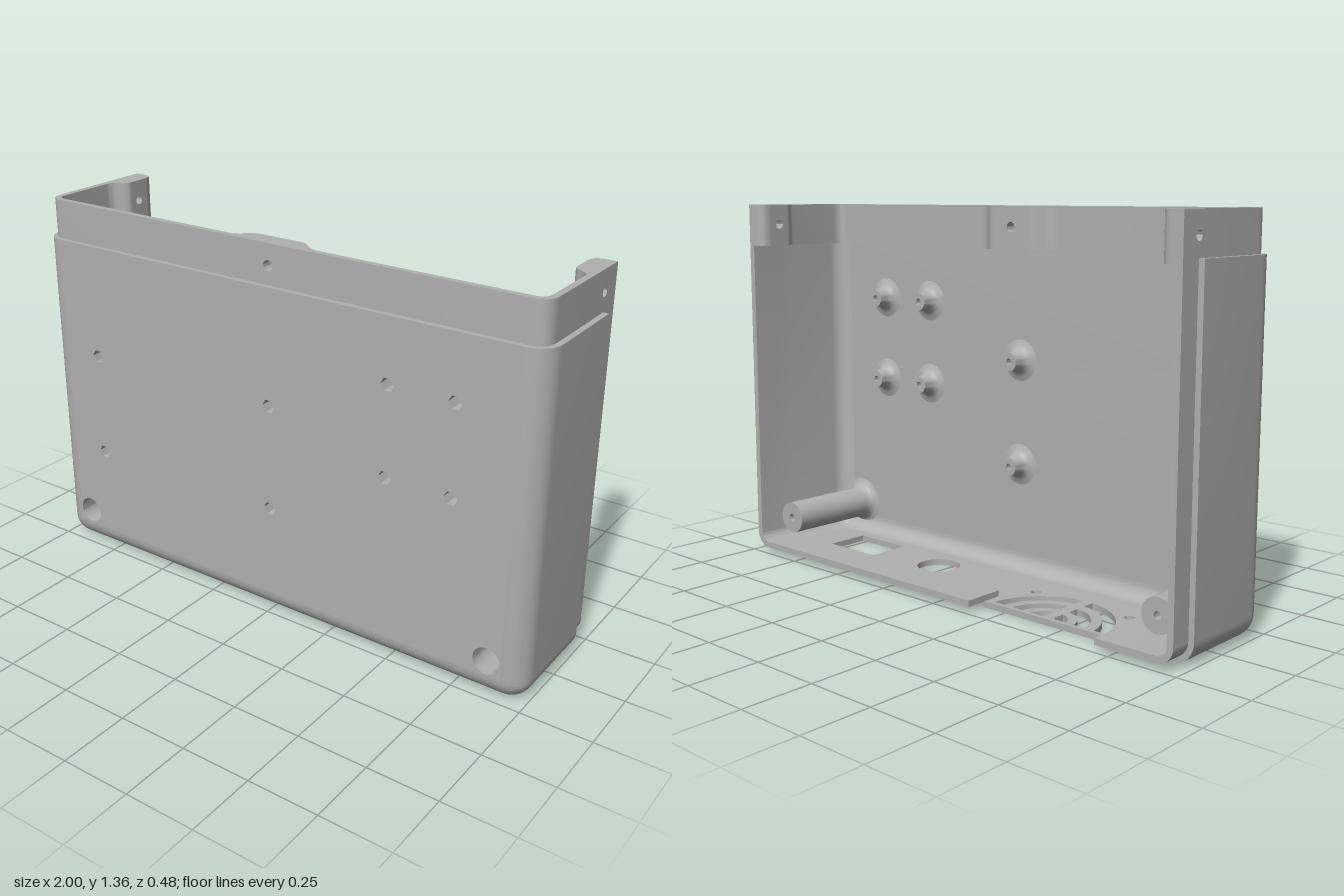
import * as THREE from 'three';
import { toCreasedNormals } from 'three/addons/utils/BufferGeometryUtils.js';

const W = 1, H = 1.215, TOP = 1.355, SEAM = 1.2; // half width, shell height, lip top, lip bottom
const BACK = -0.16, REAR = -0.24, FRONT = 0.24, R = 0.08, T = 0.022;
const PI = Math.PI;

export function createModel() {
  const model = new THREE.Group();
  model.name = 'enclosureHalf';
  const grey = new THREE.MeshStandardMaterial({ color: 0xb0b0b0 });
  grey.name = 'plastic grey';

  const add = (name, geo, x = 0, y = 0, z = 0) => {
    const mesh = new THREE.Mesh(toCreasedNormals(geo, 0.6), grey);
    mesh.name = name;
    mesh.position.set(x, y, z);
    model.add(mesh);
  };
  const rect = (C, x0, y0, x1, y1) => new C([[x0, y0], [x1, y0], [x1, y1], [x0, y1]].map(p => new THREE.Vector2(...p)));
  const disc = (x, y, r, n = 32) => {
    const pts = [];
    for (let i = 0; i < n; i++) pts.push(new THREE.Vector2(x + r * Math.cos(i / n * 2 * PI), y + r * Math.sin(i / n * 2 * PI)));
    return new THREE.Path(pts);
  };
  const extrude = (shape, depth) => new THREE.ExtrudeGeometry(shape, { depth, bevelEnabled: false, curveSegments: 12 });
  // Shape drawn as (x, -z), raised from y0 to y1
  const prism = (shape, y0, y1) => extrude(shape, y1 - y0).rotateX(-PI / 2).translate(0, y0, 0);
  // Profile of [radius, z] turned about the z axis
  const turned = (pts, n, start = 0) =>
    new THREE.LatheGeometry(pts.map(p => new THREE.Vector2(...p)), n, start).rotateX(PI / 2);

  // Side walls, rounded corners and front rounding
  add('shellWalls', wallGeometry());

  // Front plate with nut recesses and screw counterbores
  const standoffs = [[-0.77, 0.8], [-0.77, 0.415], [0.01, 0.8], [0.01, 0.415],
    [0.47, 0.99], [0.71, 0.99], [0.47, 0.67], [0.71, 0.67]];
  const bosses = [[-0.868, 0.135], [0.868, 0.135]];
  const plate = rect(THREE.Shape, -W + R, R, W - R, H);
  standoffs.forEach(([x, y]) => plate.holes.push(disc(x, y, 0.025, 6)));
  bosses.forEach(([x, y]) => plate.holes.push(disc(x, y, 0.049)));
  add('frontPlate', extrude(plate, T), 0, 0, FRONT - T);

  // Board standoffs with flared feet, and the hexagonal nut recesses inside them
  for (const [x, y] of standoffs) {
    add('standoff', turned([[0.012, 0.19], [0.012, 0.155], [0.033, 0.155], [0.035, 0.178],
      [0.038, 0.192], [0.045, 0.204], [0.058, 0.213], [0.08, 0.219]], 32), x, y);
    add('nutRecess', turned([[0.025, FRONT], [0.025, 0.19], [0.011, 0.19]], 6, PI / 6), x, y);
  }

  // Long screw bosses with deep counterbores
  for (const [x, y] of bosses) {
    add('screwBoss', turned([[0.049, FRONT], [0.049, -0.1], [0.014, -0.1], [0.014, BACK], [0.06, BACK],
      [0.06, 0.178], [0.063, 0.193], [0.07, 0.206], [0.08, 0.214], [0.1, 0.219]], 32), x, y);
  }

  // Bottom wall with ports and a half-round fan vent
  const floor = rect(THREE.Shape, -W + R, BACK, W - R, -BACK);
  floor.holes.push(disc(0.25, -0.035, 0.08, 48), rect(THREE.Path, 0.53, -0.125, 0.77, 0.05));
  const cx = -0.425, cy = 0.163;
  for (const x of [-0.2, 0.2]) floor.holes.push(disc(cx + x, -0.035, 0.018));
  for (const [r0, r1] of [[0.19, 0.235], [0.11, 0.155], [0.035, 0.078]]) {
    const a0 = 0.02 / r0, a1 = 0.02 / r1;
    for (const start of [-PI, -PI / 2]) {
      const slot = new THREE.Path();
      slot.absarc(cx, cy, r1, start + a1, start + PI / 2 - a1, false);
      slot.absarc(cx, cy, r0, start + PI / 2 - a0, start + a0, true);
      floor.holes.push(slot);
    }
  }
  add('bottomWall', prism(floor, 0, T));

  // Rear lip: one L-shaped strip per side, leaving a gap at the vent
  for (const [s, end] of [[1, -0.16], [-1, 0.69]]) {
    const arc = (r, up) => {
      const pts = [];
      for (let i = 0; i <= 10; i++) {
        const a = (up ? 10 - i : i) / 10 * PI / 2;
        pts.push([0.92 + r * Math.cos(a), R - r * Math.sin(a)]);
      }
      return pts;
    };
    const pts = [[0.98, SEAM], ...arc(0.06), [end, 0.02], [end, 0.043], ...arc(0.037, true), [0.957, SEAM]];
    add('rearLip', extrude(new THREE.Shape(pts.map(([x, y]) => new THREE.Vector2(x * s, y))), 0.15), 0, 0, REAR);
  }

  // Top lip, thickened around the middle and rear screw holes
  for (const s of [1, -1]) {
    const lip = new THREE.Shape();
    lip.moveTo(s * 0.08, -0.22);
    lip.lineTo(s * 0.92, -0.22);
    lip.quadraticCurveTo(s * 0.98, -0.22, s * 0.98, -0.16);
    lip.lineTo(s * 0.98, 0.12);
    lip.lineTo(s * 0.9, 0.12);
    lip.bezierCurveTo(s * 0.9, 0.085, s * 0.957, 0.095, s * 0.957, 0.05);
    lip.lineTo(s * 0.957, -0.16);
    lip.quadraticCurveTo(s * 0.957, -0.198, s * 0.92, -0.198);
    lip.lineTo(s * 0.18, -0.198);
    lip.bezierCurveTo(s * 0.13, -0.198, s * 0.12, -0.15, s * 0.08, -0.15);
    add('topLip', prism(lip, SEAM, TOP));

    const tip = new THREE.Shape();
    tip.moveTo(s * 0.98, 0.2);
    tip.lineTo(s * 0.98, -REAR);
    tip.lineTo(s * 0.94, -REAR);
    tip.quadraticCurveTo(s * 0.9, -REAR, s * 0.9, 0.2);
    add('rearTabEnd', prism(tip, SEAM, TOP));

    const tab = rect(THREE.Shape, 0.12, SEAM, 0.2, TOP);
    tab.holes.push(disc(0.16, 1.28, 0.016));
    add('rearTab', extrude(tab, 0.08).rotateY(PI / 2), s > 0 ? 0.9 : -0.98);
  }
  const middle = rect(THREE.Shape, -0.08, SEAM, 0.08, TOP);
  middle.holes.push(disc(0, 1.28, 0.018));
  add('middleTab', extrude(middle, 0.07), 0, 0, 0.15);

  return model;
}

// U-shaped wall swept down one side, across the bottom and up the other
function wallGeometry() {
  const N = 10;
  const profile = [[0, BACK]]; // [inset, z], outside then back along the inside
  for (let i = 0; i <= N; i++) {
    const a = i / N * PI / 2;
    profile.push([R - R * Math.cos(a), FRONT - R + R * Math.sin(a)]);
  }
  for (let i = N; i >= 0; i--) {
    const a = i / N * PI / 2, r = R - T;
    profile.push([R - r * Math.cos(a), FRONT - R + r * Math.sin(a)]);
  }
  profile.push([T, BACK]);
  const n = profile.length, half = n / 2;

  const rings = profile.map(([d, z]) => {
    const pts = [[-W + d, H, z]];
    for (const s of [-1, 1]) for (let i = 0; i <= N; i++) {
      const a = PI * (s < 0 ? 1 : 1.5) + i / N * PI / 2;
      pts.push([s * (W - R) + (R - d) * Math.cos(a), R + (R - d) * Math.sin(a), z]);
    }
    pts.push([W - d, H, z]);
    return pts;
  });

  const pos = [];
  const quad = (a, b, c, d) => pos.push(...a, ...b, ...c, ...a, ...c, ...d);
  const last = rings[0].length - 1;
  for (let i = 0; i < n; i++) {
    if (i === half - 1) continue; // joins the front plate
    const p = rings[i], q = rings[(i + 1) % n];
    for (let j = 0; j < last; j++) {
      if (j === N + 1 && (i === 0 || i >= n - 2)) continue; // filled by the bottom wall
      quad(p[j], p[j + 1], q[j + 1], q[j]);
    }
  }
  // Upper ends of the walls
  for (let i = 0; i < half - 1; i++) {
    const a = rings[i], b = rings[i + 1], c = rings[n - 2 - i], d = rings[n - 1 - i];
    quad(a[last], d[last], c[last], b[last]);
    quad(a[0], b[0], c[0], d[0]);
  }
  const geo = new THREE.BufferGeometry();
  geo.setAttribute('position', new THREE.Float32BufferAttribute(pos, 3));
  return geo;
}
